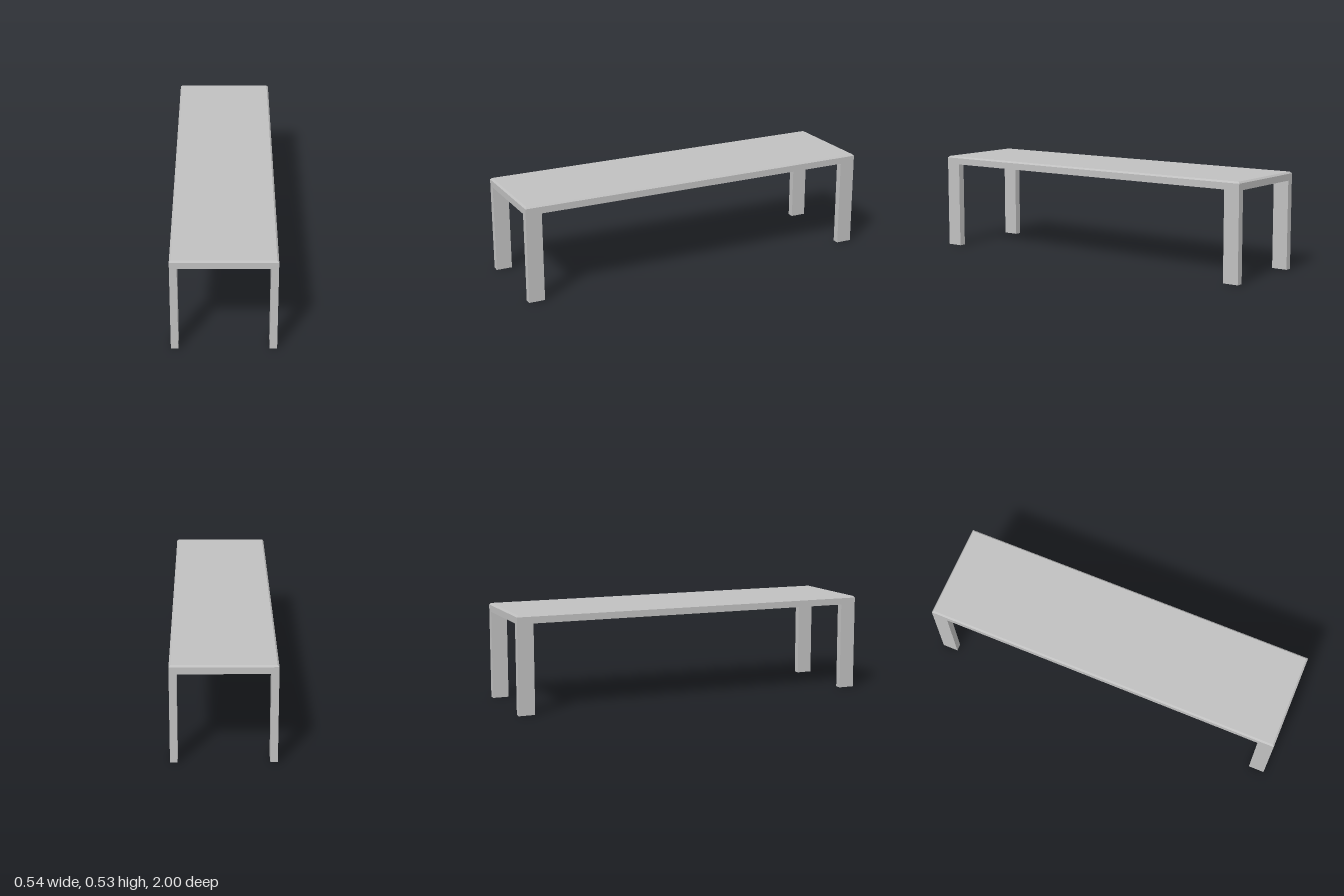
import * as THREE from 'three';

const HALF_W = 0.27, HALF_L = 1.0;
const UNDER = 0.482, BEVEL_Y = 0.518, TOP = 0.527, BEVEL = 0.009;
const LEG_W = 0.038, LEG_L = 0.088;

// Slab with a chamfer around its upper edge
function tableTopGeometry() {
  const box = new THREE.BoxGeometry(2 * HALF_W, 2, 2 * HALF_L, 1, 2, 1);
  const p = box.attributes.position;
  for (let i = 0; i < p.count; i++) {
    const level = Math.round(p.getY(i));
    p.setY(i, level < 0 ? UNDER : level > 0 ? TOP : BEVEL_Y);
    if (level > 0) {
      p.setX(i, p.getX(i) - Math.sign(p.getX(i)) * BEVEL);
      p.setZ(i, p.getZ(i) - Math.sign(p.getZ(i)) * BEVEL);
    }
  }
  const geometry = box.toNonIndexed();
  geometry.computeVertexNormals();
  return geometry;
}

export function createModel() {
  const model = new THREE.Group();
  model.name = 'table';
  const grey = new THREE.MeshStandardMaterial({ color: 0xc0c0c0 });
  grey.name = 'light grey';

  const top = new THREE.Mesh(tableTopGeometry(), grey);
  top.name = 'tableTop';
  model.add(top);

  // Four legs flush with the outer corners
  const legGeometry = new THREE.BoxGeometry(LEG_W, UNDER, LEG_L);
  for (const [side, sx] of [['Left', 1], ['Right', -1]]) {
    for (const [end, sz] of [['front', 1], ['back', -1]]) {
      const leg = new THREE.Mesh(legGeometry, grey);
      leg.name = `${end}${side}Leg`;
      leg.position.set(sx * (HALF_W - LEG_W / 2), UNDER / 2, sz * (HALF_L - LEG_L / 2));
      model.add(leg);
    }
  }
  return model;
}
